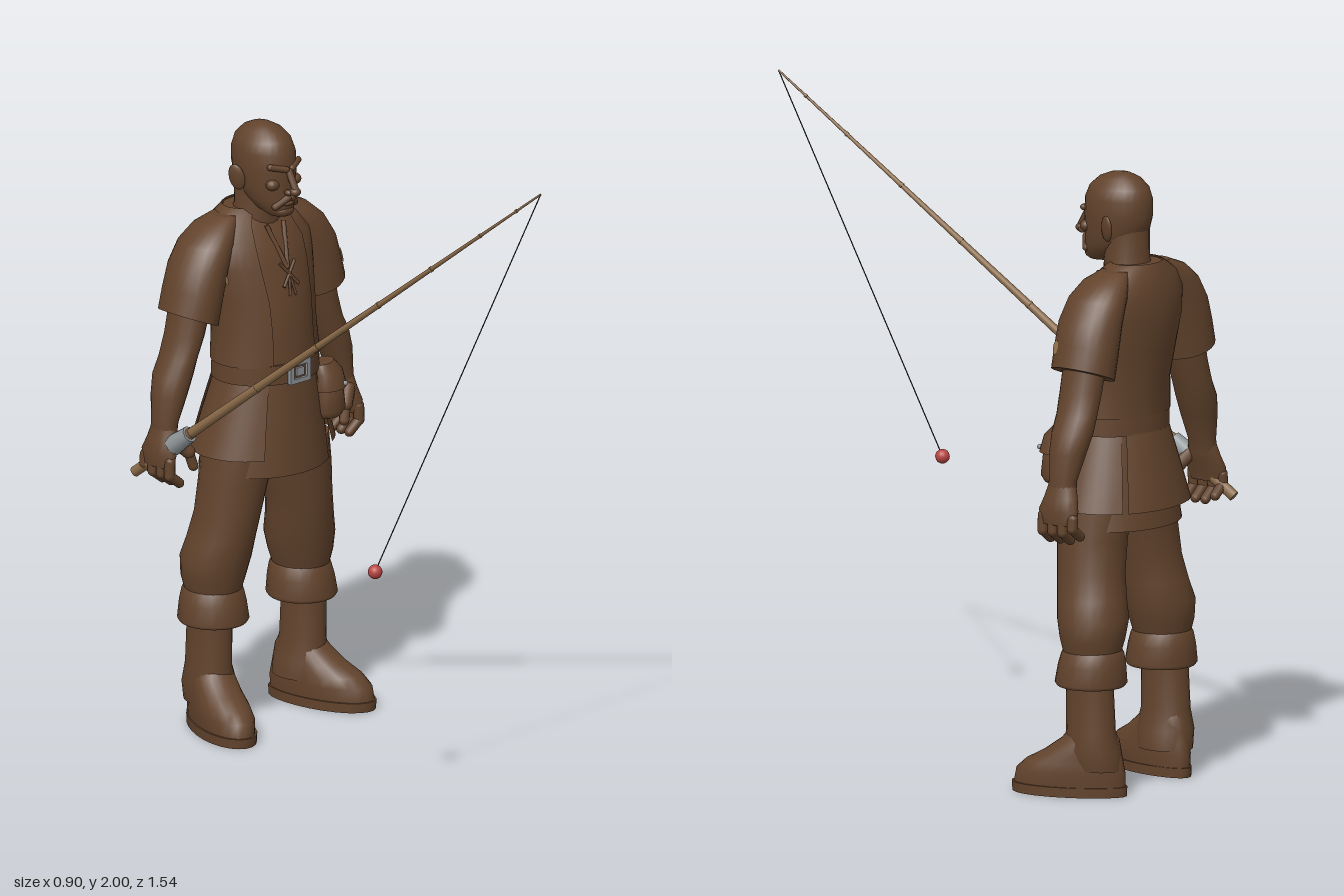
import * as THREE from 'three';

const paint = (name, color) => new THREE.MeshStandardMaterial({ name, color, side: THREE.DoubleSide });
const V = (x, y, z) => new THREE.Vector3(x, y, z);

export function createModel() {
  const brown = paint('brown cloth and leather', 0x62432c);
  const wood = paint('rod wood', 0x8a6a48);
  const metal = paint('grey metal', 0x8d9396);
  const red = paint('red float', 0xb84442);
  const dark = paint('fishing line', 0x3a3836);
  const tan = paint('tan patch', 0x9c7850);

  const model = new THREE.Group();
  const man = new THREE.Group();
  man.name = 'fisherman';
  man.position.x = 0.03;
  model.add(man);

  const add = (name, geometry, material, parent = man) => {
    const mesh = new THREE.Mesh(geometry, material);
    mesh.name = name;
    parent.add(mesh);
    return mesh;
  };

  // Skin over elliptical rings, bottom to top: [y, cx, cz, rx, rz, tilt]
  // s mirrors the ring centres, k widens the front, from/to leave the ring open
  function loft(name, rows, { n = 24, s = 1, k = 0, from = 0, to = Math.PI * 2, parent = man } = {}) {
    const open = to - from < 6.28, count = open ? n + 1 : n;
    const pos = [], idx = [];
    const ring = ([y, cx, cz, rx, rz, tilt = 0]) => {
      for (let j = 0; j < count; j++) {
        const t = from + (to - from) * j / n;
        const dx = rx * Math.sin(t) * (1 + k * Math.cos(t));
        pos.push(s * cx + dx, y + s * tilt * dx, cz + rz * Math.cos(t));
      }
    };
    rows.forEach(ring);
    for (let i = 0; i < rows.length - 1; i++) for (let j = 0; j < n; j++) {
      const a = i * count + j, b = i * count + (j + 1) % count;
      idx.push(a, b, b + count, a, b + count, a + count);
    }
    if (!open) [rows[0], rows[rows.length - 1]].forEach((row, end) => {
      const base = pos.length / 3;
      ring(row);
      pos.push(s * row[1], row[0], row[2]);
      for (let j = 0; j < n; j++) {
        const a = base + j, b = base + (j + 1) % n;
        end ? idx.push(a, b, base + n) : idx.push(b, a, base + n);
      }
    });
    const g = new THREE.BufferGeometry();
    g.setAttribute('position', new THREE.Float32BufferAttribute(pos, 3));
    g.setIndex(idx);
    g.computeVertexNormals();
    return add(name, g, brown, parent);
  }

  // Straight round piece between two points
  function span(name, a, b, r0, r1, material, parent = man, round = false) {
    const len = a.distanceTo(b);
    const g = round ? new THREE.CapsuleGeometry(r0, len, 4, 10) : new THREE.CylinderGeometry(r1, r0, len, 10);
    const m = add(name, g, material, parent);
    m.position.copy(a).lerp(b, 0.5);
    m.quaternion.setFromUnitVectors(V(0, 1, 0), b.clone().sub(a).normalize());
    return m;
  }

  function blob(name, x, y, z, rx, ry, rz, material = brown) {
    const m = add(name, new THREE.SphereGeometry(1, 16, 12), material);
    m.position.set(x, y, z);
    m.scale.set(rx, ry, rz);
    return m;
  }

  // Shirt and open vest
  const torso = [[1.15, 0, -0.56, 0.18, 0.148], [1.25, 0, -0.565, 0.17, 0.146], [1.35, 0, -0.58, 0.177, 0.15],
    [1.45, 0, -0.6, 0.195, 0.142], [1.52, 0, -0.61, 0.198, 0.127], [1.575, 0, -0.622, 0.165, 0.1], [1.615, 0, -0.63, 0.09, 0.072]];
  loft('shirt', torso.map(([y, x, z, a, b]) => [y - 0.005, x, z, a * 0.955, b * 0.955]), { n: 32 });
  loft('vest', torso, { n: 32, from: 0.5, to: Math.PI * 2 - 0.5 });

  // Laces at the neck opening
  for (const s of [-1, 1]) {
    span('collar edge', V(s * 0.035, 1.57, -0.515), V(0, 1.44, -0.46), 0.007, 0.007, brown);
    span('lace', V(s * 0.03, 1.46, -0.462), V(-s * 0.03, 1.39, -0.443), 0.005, 0.005, brown);
    span('lace end', V(0, 1.43, -0.453), V(s * 0.012, 1.36, -0.435), 0.004, 0.004, brown);
  }

  // Tunic skirt, side flaps and back panel
  loft('tunicSkirt', [[0.81, 0, -0.565, 0.212, 0.178], [0.95, 0, -0.56, 0.192, 0.16], [1.13, 0, -0.557, 0.16, 0.138]], { n: 32 });
  const flap = [[0.87, 0, -0.567, 0.24, 0.19], [0.98, 0, -0.563, 0.205, 0.168], [1.1, 0, -0.557, 0.165, 0.144]];
  loft('leftFlap', flap, { n: 12, from: 0.62, to: 2.35 });
  loft('rightFlap', flap, { n: 12, from: Math.PI * 2 - 2.35, to: Math.PI * 2 - 0.62 });
  loft('backFlap', flap.map(([y, x, z, a, b]) => [y, x, z - 0.008, a, b]), { n: 12, from: 2.4, to: Math.PI * 2 - 2.4 });

  // Belt with a framed buckle
  loft('belt', [[1.095, 0, -0.558, 0.176, 0.149], [1.155, 0, -0.558, 0.174, 0.149]], { n: 32 });
  const frame = new THREE.Shape([[-0.042, -0.035], [0.042, -0.035], [0.042, 0.035], [-0.042, 0.035]].map(p => new THREE.Vector2(...p)));
  frame.holes.push(new THREE.Path([[-0.027, -0.021], [-0.027, 0.021], [0.027, 0.021], [0.027, -0.021]].map(p => new THREE.Vector2(...p))));
  add('buckleFrame', new THREE.ExtrudeGeometry(frame, { depth: 0.012, bevelEnabled: false }), metal).position.set(0, 1.127, -0.413);
  add('bucklePlate', new THREE.BoxGeometry(0.03, 0.026, 0.01), metal).position.set(0, 1.127, -0.407);

  // Belt pouch
  const pouch = new THREE.Group();
  pouch.name = 'pouch';
  pouch.position.set(0.163, 1.02, -0.455);
  pouch.rotation.set(-0.06, 0.5, 0.05);
  man.add(pouch);
  loft('pouchBag', [[-0.08, 0, 0, 0.045, 0.035], [-0.06, 0, 0, 0.062, 0.048], [0, 0, 0, 0.058, 0.045], [0.085, 0, -0.01, 0.045, 0.03]], { parent: pouch });
  loft('pouchLid', [[0.01, 0, 0.004, 0.063, 0.052], [0.06, 0, 0, 0.06, 0.045], [0.09, 0, -0.01, 0.045, 0.03]], { parent: pouch });
  add('pouchStud', new THREE.SphereGeometry(0.008, 10, 8), metal, pouch).position.set(0, 0.022, 0.056);

  // Neck and head
  loft('neck', [[1.55, 0, -0.605, 0.085, 0.08], [1.62, 0, -0.595, 0.068, 0.07], [1.72, 0, -0.59, 0.068, 0.075]]);
  loft('head', [[1.605, 0, -0.5, 0.03, 0.038], [1.625, 0, -0.515, 0.052, 0.062], [1.66, 0, -0.54, 0.07, 0.088], [1.7, 0, -0.558, 0.079, 0.105],
    [1.75, 0, -0.564, 0.084, 0.112], [1.8, 0, -0.566, 0.084, 0.11], [1.835, 0, -0.568, 0.074, 0.097], [1.862, 0, -0.57, 0.052, 0.068],
    [1.876, 0, -0.572, 0.027, 0.035], [1.88, 0, -0.572, 0.004, 0.005]], { n: 28 });
  span('noseBridge', V(0, 1.748, -0.453), V(0, 1.695, -0.424), 0.011, 0.011, brown, man, true);
  blob('noseTip', 0, 1.69, -0.427, 0.018, 0.014, 0.018);
  blob('chinBeard', 0, 1.622, -0.474, 0.034, 0.02, 0.024);
  blob('lowerLip', 0, 1.648, -0.457, 0.022, 0.008, 0.012);
  for (const s of [-1, 1]) {
    span('brow', V(s * 0.012, 1.757, -0.453), V(s * 0.058, 1.768, -0.475), 0.01, 0.01, brown, man, true);
    span('moustache', V(s * 0.008, 1.667, -0.45), V(s * 0.04, 1.64, -0.472), 0.011, 0.011, brown, man, true);
    blob('nostril', s * 0.015, 1.687, -0.441, 0.011, 0.01, 0.014);
    blob('cheek', s * 0.045, 1.71, -0.478, 0.022, 0.018, 0.02);
    const ear = blob('ear', s * 0.092, 1.72, -0.585, 0.011, 0.042, 0.026);
    ear.rotation.set(-0.2, s * -0.4, s * -0.2);
  }

  for (const s of [-1, 1]) {
    // Sleeve, arm
    loft('sleeve', [[1.307, 0.262, -0.618, 0.08, 0.103, 0.4], [1.38, 0.244, -0.618, 0.08, 0.104, 0.3], [1.46, 0.222, -0.618, 0.082, 0.102, 0.1],
      [1.53, 0.187, -0.62, 0.078, 0.093], [1.575, 0.15, -0.622, 0.062, 0.072], [1.6, 0.11, -0.625, 0.035, 0.045]], { s });
    loft('arm', [[0.95, 0.368, -0.615, 0.032, 0.048], [1.0, 0.362, -0.615, 0.036, 0.046], [1.08, 0.342, -0.618, 0.05, 0.06], [1.14, 0.322, -0.622, 0.056, 0.067],
      [1.19, 0.3, -0.622, 0.05, 0.067], [1.26, 0.275, -0.62, 0.053, 0.069], [1.36, 0.25, -0.62, 0.058, 0.07]], { s, n: 18 });

    // Hand with bent fingers
    loft('palm', [[0.868, 0.388, -0.615, 0.022, 0.06], [0.91, 0.385, -0.615, 0.03, 0.07], [0.95, 0.372, -0.615, 0.034, 0.056], [0.985, 0.365, -0.615, 0.033, 0.046]], { s, n: 16 });
    for (let i = 0; i < 4; i++) {
      const z = -0.562 - i * 0.036, drop = i === 3 ? 0.015 : 0;
      span('finger', V(s * 0.39, 0.89, z), V(s * 0.392, 0.845 + drop, z), 0.017, 0, brown, man, true);
      span('fingertip', V(s * 0.392, 0.845 + drop, z), V(s * 0.352, 0.815 + drop, z), 0.0155, 0, brown, man, true);
    }
    span('thumbBase', V(s * 0.36, 0.95, -0.575), V(s * 0.325, 0.91, -0.55), 0.021, 0, brown, man, true);
    span('thumb', V(s * 0.325, 0.91, -0.55), V(s * 0.312, 0.865, -0.543), 0.016, 0, brown, man, true);

    // Trousers, rolled cuff and boot
    loft('trouserLeg', [[0.42, 0.182, -0.595, 0.08, 0.085], [0.48, 0.18, -0.595, 0.098, 0.1], [0.54, 0.173, -0.592, 0.107, 0.11], [0.6, 0.162, -0.58, 0.1, 0.108],
      [0.68, 0.147, -0.567, 0.097, 0.106], [0.78, 0.13, -0.56, 0.105, 0.108], [0.88, 0.115, -0.56, 0.105, 0.115]], { s });
    loft('cuff', [[0.335, 0.183, -0.592, 0.1, 0.104], [0.345, 0.183, -0.592, 0.107, 0.111], [0.4, 0.182, -0.595, 0.1, 0.104], [0.435, 0.181, -0.597, 0.092, 0.096], [0.45, 0.181, -0.597, 0.08, 0.085]], { s });
    loft('bootShaft', [[0.08, 0.183, -0.605, 0.072, 0.09], [0.14, 0.19, -0.602, 0.076, 0.092], [0.2, 0.195, -0.6, 0.062, 0.08], [0.35, 0.195, -0.595, 0.062, 0.076]], { s });
    const foot = new THREE.Group();
    foot.name = 'foot';
    foot.position.set(s * 0.19, 0, -0.6);
    foot.rotation.y = s * 0.3;
    man.add(foot);
    loft('sole', [[0, 0, 0.07, 0.078, 0.18], [0.03, 0, 0.07, 0.079, 0.182]], { k: 0.15, parent: foot });
    loft('bootFoot', [[0.03, 0, 0.07, 0.074, 0.176], [0.07, 0, 0.066, 0.077, 0.172], [0.1, 0, 0.053, 0.073, 0.153],
      [0.13, 0, 0.028, 0.068, 0.122], [0.17, 0, 0.004, 0.064, 0.09], [0.2, 0, 0, 0.05, 0.07]], { k: 0.12, parent: foot });
  }

  // Worn patches on the sleeves
  const patch = (x, y, z, turn, size) => {
    const m = add('sleevePatch', new THREE.CircleGeometry(size, 9), tan);
    m.position.set(x, y, z);
    m.rotation.set(-0.2, turn, 0, 'YXZ');
    m.scale.y = 1.3;
  };
  patch(0.309, 1.39, -0.55, 1.02, 0.018);
  patch(-0.195, 1.43, -0.519, 0.35, 0.011);

  // Fishing rod, grip and guides
  const tip = V(-0.085, 2, 0.77), butt = V(-0.366, 0.825, -0.71);
  const along = t => butt.clone().lerp(tip, t);
  span('rodHandle', butt, along(0.14), 0.017, 0.018, wood, model);
  span('rod', along(0.1), tip, 0.017, 0.003, wood, model);
  span('gripCollar', along(0.095), along(0.135), 0.033, 0.026, metal, model);
  for (const t of [0.3, 0.45, 0.6, 0.73, 0.85, 0.94])
    span('rodGuide', along(t - 0.002), along(t + 0.002), 0.019 - t * 0.014, 0.019 - t * 0.014, wood, model);

  // Line and float
  const floatAt = V(-0.43, 0.795, 0.41);
  span('line', floatAt, tip, 0.0018, 0.0018, dark, model);
  add('float', new THREE.SphereGeometry(0.022, 18, 14), red, model).position.copy(floatAt);

  return model;
}
